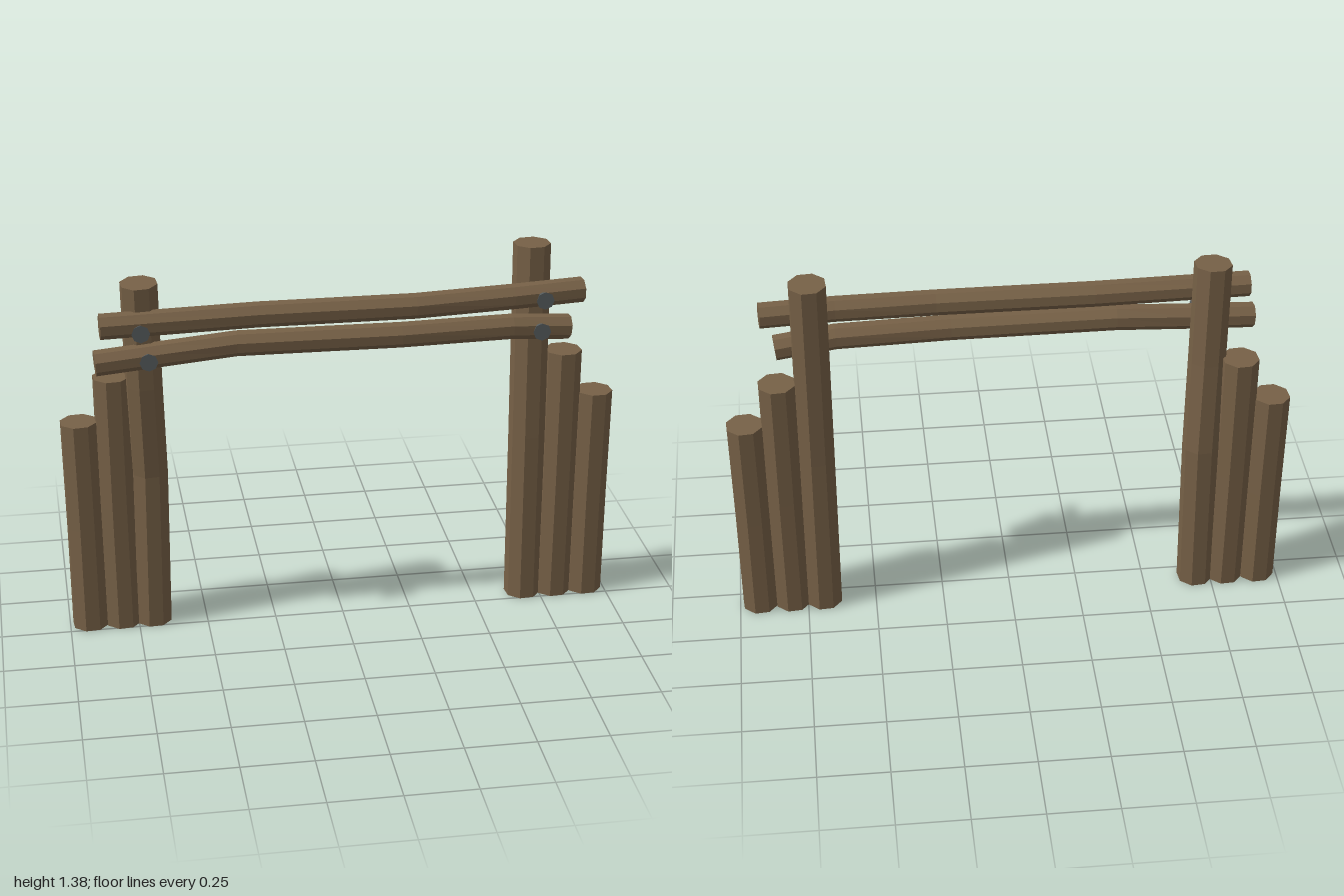
import * as THREE from 'three';

const wood = new THREE.MeshStandardMaterial({ color: 0x776147, flatShading: true, side: THREE.DoubleSide });
wood.name = 'wood';
const iron = new THREE.MeshStandardMaterial({ color: 0x565c5e, flatShading: true });
iron.name = 'iron';

// Eight-sided log whose rings follow a list of centre points
function log(name, radius, points, twist, openStart) {
  const pts = points.map((p) => new THREE.Vector3(...p));
  const n = pts.length - 1;
  const geo = new THREE.CylinderGeometry(radius, radius, n, 8, n, false, Math.PI / 8 + twist);
  const up = new THREE.Vector3(0, 1, 0);
  const turns = pts.map((p, i) => {
    const dir = pts[Math.min(i + 1, n)].clone().sub(pts[Math.max(i - 1, 0)]).normalize();
    return new THREE.Quaternion().setFromUnitVectors(up, dir);
  });
  const pos = geo.attributes.position;
  const v = new THREE.Vector3();
  for (let i = 0; i < pos.count; i++) {
    const row = Math.round(pos.getY(i) + n / 2);
    v.set(pos.getX(i), 0, pos.getZ(i)).applyQuaternion(turns[row]).add(pts[row]);
    pos.setXYZ(i, v.x, v.y, v.z);
  }
  // Posts have no underside: drop the last cap
  if (openStart) geo.setIndex(Array.from(geo.index.array).slice(0, -24));
  geo.clearGroups();
  geo.computeVertexNormals();
  const mesh = new THREE.Mesh(geo, wood);
  mesh.name = name;
  return mesh;
}

export function createModel() {
  const model = new THREE.Group();
  model.name = 'logGate';

  // Short stepped posts on both sides
  for (const s of [-1, 1]) {
    const side = s > 0 ? 'left' : 'right';
    model.add(log(side + 'OuterPost', 0.067,
      [[s * 0.925, 0, -0.055], [s * 0.928, 0.4, -0.057], [s * 0.934, 0.805, -0.06]], 0.08, true));
    model.add(log(side + 'MiddlePost', 0.067,
      [[s * 0.805, 0, -0.055], [s * 0.81, 0.48, -0.057], [s * 0.813, 0.97, -0.06]], 0.08, true));
  }

  // Tall posts, one leaning forward and one slightly back
  model.add(log('rightTallPost', 0.067,
    [[-0.695, 0, -0.055], [-0.69, 0.6, -0.055], [-0.7, 0.95, -0.026], [-0.707, 1.33, -0.007]], 0.08, true));
  model.add(log('leftTallPost', 0.067,
    [[0.69, 0, -0.055], [0.689, 0.65, -0.06], [0.688, 1.375, -0.078]], 0.08, true));

  // Crooked cross rails
  model.add(log('upperRail', 0.045,
    [[-0.85, 1.202, 0.057], [-0.3, 1.206, 0.035], [0.25, 1.205, 0.036], [0.6, 1.212, 0.018], [0.858, 1.216, -0.006]], 0.1));
  model.add(log('lowerRail', 0.045,
    [[-0.872, 1.07, 0.06], [-0.65, 1.085, 0.048], [-0.38, 1.104, 0.036], [0.2, 1.1, 0.036], [0.6, 1.1, 0.018], [0.812, 1.08, -0.002]], 0.1));

  // Flared iron bolts: x, y and front z
  const bolts = [[-0.715, 1.2, 0.145], [-0.69, 1.09, 0.133], [0.7, 1.22, 0.1], [0.695, 1.1, 0.09]];
  for (const [x, y, z] of bolts) {
    const bolt = new THREE.Mesh(new THREE.CylinderGeometry(0.032, 0.011, 0.055, 8), iron);
    bolt.name = 'bolt';
    bolt.rotation.x = Math.PI / 2;
    bolt.position.set(x, y, z - 0.0275);
    model.add(bolt);
  }
  return model;
}
